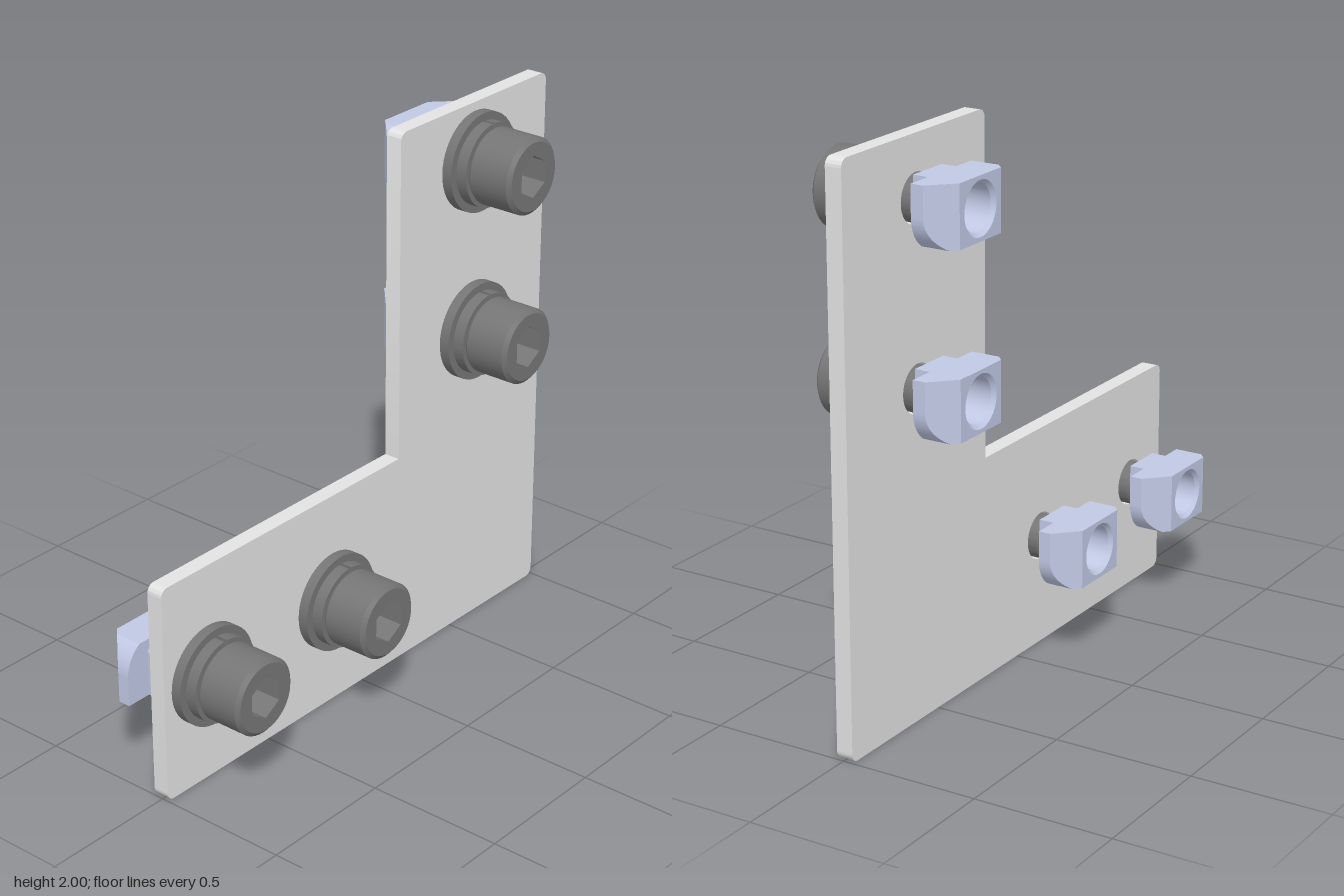
import * as THREE from 'three';
import { toCreasedNormals } from 'three/addons/utils/BufferGeometryUtils.js';

const PLATE_BACK = -0.035, PLATE_FRONT = 0.025;
const SITES = [[0.6, 1.79], [0.6, 1.16], [-0.788, 0.4], [-0.158, 0.4]];
const NUT_BACK = -0.275, NUT_HALF = 0.106, FLAT_HALF = 0.118, HOLE = 0.092;

// Extrude a shape from z0 to z1 with crisp edges
function slab(shape, z0, z1, curveSegments = 24) {
  const g = new THREE.ExtrudeGeometry(shape, { depth: z1 - z0, bevelEnabled: false, curveSegments });
  g.translate(0, 0, z0);
  return toCreasedNormals(g, 0.4);
}

// Revolve [radius, z] pairs around the z axis
function turned(profile) {
  const g = new THREE.LatheGeometry(profile.map(([r, z]) => new THREE.Vector2(r, z)), 48);
  g.rotateX(Math.PI / 2);
  return toCreasedNormals(g, 0.5);
}

function circle(r, x = 0, y = 0) {
  return new THREE.Path().absarc(x, y, r, 0, Math.PI * 2, true);
}

function plateGeometry() {
  const r = 0.03, s = new THREE.Shape();
  s.absarc(-1 + r, r, r, Math.PI, Math.PI * 1.5);
  s.absarc(1 - r, r, r, Math.PI * 1.5, Math.PI * 2);
  s.absarc(1 - r, 2 - r, r, 0, Math.PI / 2);
  s.absarc(0.2 + r, 2 - r, r, Math.PI / 2, Math.PI);
  s.lineTo(0.2, 0.8);
  s.absarc(-1 + r, 0.8 - r, r, Math.PI / 2, Math.PI);
  for (const [x, y] of SITES) s.holes.push(circle(0.085, x, y));
  return slab(s, PLATE_BACK, PLATE_FRONT);
}

// Open ring with a narrow gap at the top
function lockWasherGeometry() {
  const s = new THREE.Shape(), a = Math.PI / 2;
  s.absarc(0, 0, 0.15, a + 0.05, a - 0.05 + Math.PI * 2);
  s.absarc(0, 0, 0.085, a - 0.08 + Math.PI * 2, a + 0.08, true);
  return slab(s, 0.063, 0.105, 48);
}

// Solid head core with a hexagonal recess
function socketGeometry() {
  const s = new THREE.Shape().absarc(0, 0, 0.122, 0, Math.PI * 2);
  const hex = [];
  for (let i = 0; i < 6; i++) {
    const a = Math.PI / 2 - i * Math.PI / 3;
    hex.push(new THREE.Vector2(0.076 * Math.cos(a), 0.076 * Math.sin(a)));
  }
  s.holes.push(new THREE.Path(hex));
  return slab(s, 0.16, 0.275);
}

// Middle of the nut, full depth
function nutCoreGeometry() {
  const s = new THREE.Shape();
  s.moveTo(-FLAT_HALF, -NUT_HALF).lineTo(FLAT_HALF, -NUT_HALF);
  s.lineTo(FLAT_HALF, NUT_HALF).lineTo(-FLAT_HALF, NUT_HALF);
  s.holes.push(circle(HOLE));
  return slab(s, NUT_BACK, -0.15);
}

// Nut end with one rounded corner; its back cap is slid onto a sloping plane
function nutEndGeometry() {
  const s = new THREE.Shape(), r = 0.125, cx = 0.075;
  s.absarc(cx, 0, r, -Math.asin(NUT_HALF / r), 0);
  s.lineTo(0.2, NUT_HALF).lineTo(FLAT_HALF, NUT_HALF).lineTo(FLAT_HALF, -NUT_HALF);
  const g = new THREE.ExtrudeGeometry(s, { depth: 0.125, bevelEnabled: false, curveSegments: 16 });
  g.translate(0, 0, NUT_BACK);
  const p = g.attributes.position;
  for (let i = 0; i < p.count; i++) {
    if (p.getZ(i) > -0.2) continue;
    p.setZ(i, NUT_BACK + 0.08 * (p.getX(i) - FLAT_HALF) / (0.2 - FLAT_HALF));
  }
  return toCreasedNormals(g, 0.4);
}

// Narrow neck with two opposite corners rounded
function nutNeckGeometry() {
  const s = new THREE.Shape(), r = 0.12, w = 0.105;
  const a0 = -Math.asin(NUT_HALF / r), a1 = -Math.acos(w / r);
  s.absarc(0, 0, r, a0, a1);
  s.lineTo(w, NUT_HALF);
  s.absarc(0, 0, r, a0 + Math.PI, a1 + Math.PI);
  s.lineTo(-w, -NUT_HALF);
  s.holes.push(circle(HOLE));
  return slab(s, -0.15, -0.095);
}

export function createModel() {
  const material = (name, color, side = THREE.FrontSide) => {
    const m = new THREE.MeshStandardMaterial({ color, side });
    m.name = name;
    return m;
  };
  const plateGrey = material('plateGrey', 0xe2e2e2);
  const boltGrey = material('boltGrey', 0x757575, THREE.DoubleSide);
  const nutBlue = material('nutBlue', 0xc0c8e4, THREE.DoubleSide);

  const add = (parent, name, geometry, mat) => {
    const mesh = new THREE.Mesh(geometry, mat);
    mesh.name = name;
    parent.add(mesh);
    return mesh;
  };

  const model = new THREE.Group();
  model.name = 'cornerBracket';
  add(model, 'plate', plateGeometry(), plateGrey);

  // Shared fastener geometry
  const bolt = turned([[0, -0.135], [0.078, -0.135], [0.078, 0.105], [0.132, 0.105], [0.137, 0.112],
    [0.137, 0.262], [0.122, 0.275], [0.122, 0.16], [0, 0.16]]);
  const washer = turned([[0.085, PLATE_FRONT], [0.178, PLATE_FRONT], [0.178, 0.063], [0.085, 0.063]]);
  const collar = turned([[0.078, -0.097], [0.086, -0.097], [0.086, -0.07], [0.078, -0.07]]);
  const bore = turned([[HOLE, NUT_BACK], [0.079, -0.262], [0.079, -0.095], [HOLE, -0.095]]);
  const lockWasher = lockWasherGeometry(), socket = socketGeometry();
  const nutCore = nutCoreGeometry(), nutEnd = nutEndGeometry(), nutNeck = nutNeckGeometry();

  for (const [x, y] of SITES) {
    const fastener = new THREE.Group();
    fastener.name = 'fastener';
    fastener.position.set(x, y, 0);
    add(fastener, 'bolt', bolt, boltGrey);
    add(fastener, 'hexSocket', socket, boltGrey);
    add(fastener, 'flatWasher', washer, boltGrey);
    add(fastener, 'lockWasher', lockWasher, boltGrey);
    add(fastener, 'collar', collar, boltGrey);

    const nut = new THREE.Group();
    nut.name = 'slotNut';
    add(nut, 'nutCore', nutCore, nutBlue);
    add(nut, 'nutLeftEnd', nutEnd, nutBlue);
    add(nut, 'nutRightEnd', nutEnd, nutBlue).rotation.z = Math.PI;
    add(nut, 'nutNeck', nutNeck, nutBlue);
    add(nut, 'nutBore', bore, nutBlue);
    fastener.add(nut);
    model.add(fastener);
  }
  return model;
}
